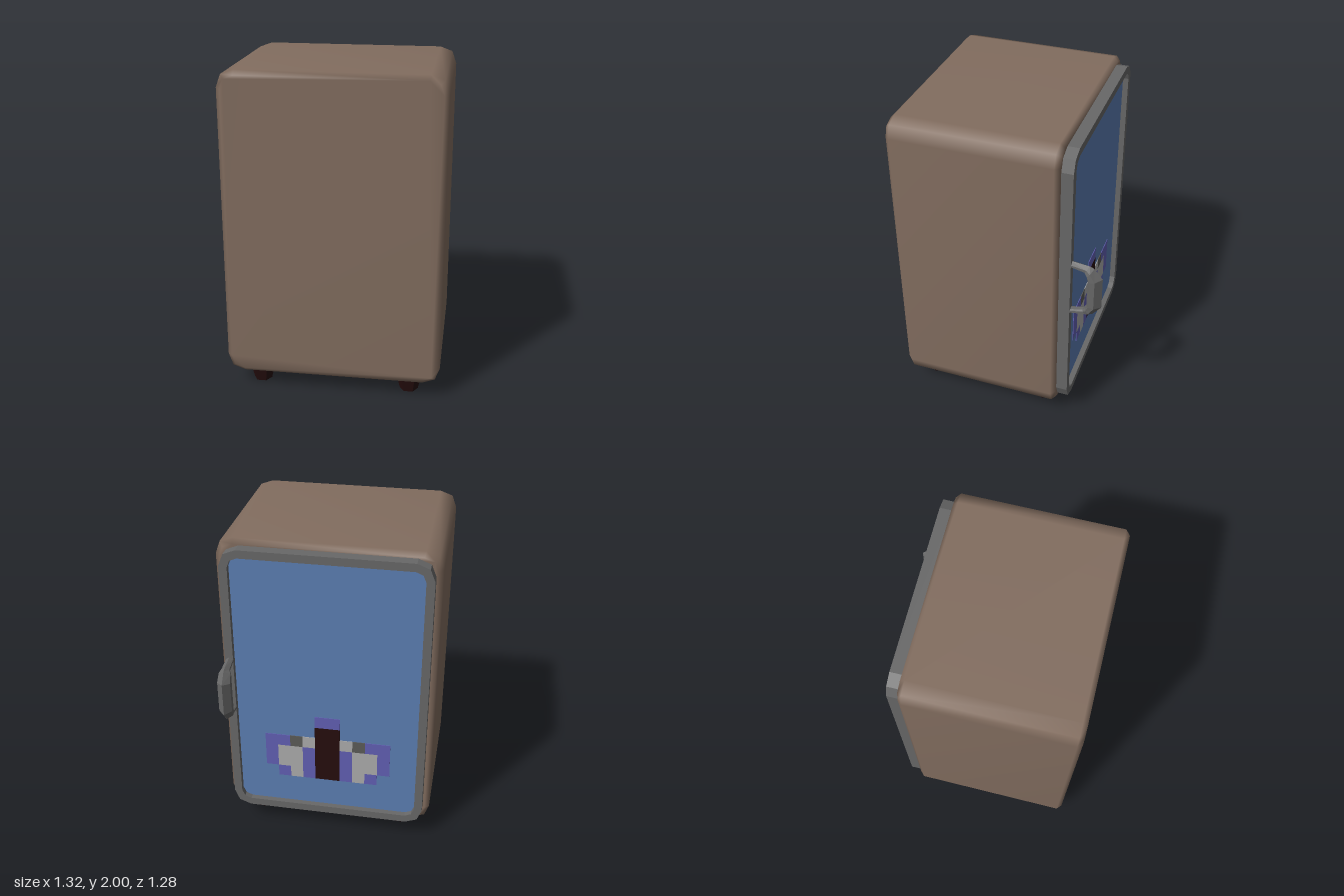
import * as THREE from 'three';
import { mergeVertices } from 'three/addons/utils/BufferGeometryUtils.js';

const mat = (name, color, extra = {}) => {
  const m = new THREE.MeshStandardMaterial({ color, ...extra });
  m.name = name;
  return m;
};

// Rectangle centred on x = 0 whose corners are cut with two facets
function cutRect(Type, halfW, y0, y1, long, short) {
  const cy = (y0 + y1) / 2, h = (y1 - y0) / 2;
  const quarter = [[halfW, h - long], [halfW - short, h - short], [halfW - long, h]];
  const flip = (sx, sy) => quarter.map(([x, y]) => [x * sx, y * sy]);
  const pts = [
    ...flip(1, 1), ...flip(-1, 1).reverse(),
    ...flip(-1, -1), ...flip(1, -1).reverse(),
  ];
  return new Type(pts.map(([x, y]) => new THREE.Vector2(x, cy + y)));
}

// Closed handle lofted through five-sided sections
function handleGeometry(cx) {
  // outer y, outer z, inner y, inner z, half width
  const half = [
    [1.26, -0.44, 1.228, -0.44, 0.022],
    [1.247, -0.56, 1.207, -0.53, 0.024],
    [1.235, -0.588, 1.185, -0.548, 0.036],
    [1.17, -0.64, 1.155, -0.555, 0.04],
  ];
  const mirrored = half.map(([a, b, c, d, w]) => [2.13 - a, b, 2.13 - c, d, w]).reverse();
  const rings = [...half, ...mirrored].map(([oy, oz, iy, iz, w]) => {
    const at = (t, s) => [cx + s * w, oy + (iy - oy) * t, oz + (iz - oz) * t];
    return [at(0, 0), at(0.45, 1), at(0.85, 1), at(1, 0.55), at(1, -0.55), at(0.85, -1), at(0.45, -1)];
  });
  const n = rings[0].length, pos = [];
  for (let r = 0; r < rings.length - 1; r++) {
    for (let i = 0; i < n; i++) {
      const j = (i + 1) % n;
      const a = rings[r][i], b = rings[r][j], c = rings[r + 1][j], d = rings[r + 1][i];
      pos.push(...a, ...b, ...c, ...a, ...c, ...d);
    }
  }
  const g = new THREE.BufferGeometry();
  g.setAttribute('position', new THREE.Float32BufferAttribute(pos, 3));
  g.computeVertexNormals();
  return g;
}

export function createModel() {
  const model = new THREE.Group();
  model.name = 'miniFridge';

  const brown = mat('cabinetBrown', 0x826d5f);
  const grey = mat('frameGrey', 0x686868, { side: THREE.DoubleSide });
  const blue = mat('panelBlue', 0x5c7eb3);
  const dark = mat('darkBrown', 0x260d0d);
  const purple = mat('patternPurple', 0x6260b4);
  const pale = mat('patternPale', 0xadadad);
  const slate = mat('patternSlate', 0x5c5c58);

  const add = (parent, name, geometry, material, x = 0, y = 0, z = 0) => {
    const mesh = new THREE.Mesh(geometry, material);
    mesh.name = name;
    mesh.position.set(x, y, z);
    parent.add(mesh);
    return mesh;
  };

  // Cabinet: bevelled block with soft shared normals
  const b = 0.028;
  let cabinet = new THREE.ExtrudeGeometry(cutRect(THREE.Shape, 0.66, 0.1, 2, 0.105, 0.028), {
    depth: 1.025 - 2 * b, bevelThickness: b, bevelSize: b, bevelOffset: -b, bevelSegments: 1,
  });
  cabinet.deleteAttribute('uv');
  cabinet.deleteAttribute('normal');
  cabinet = mergeVertices(cabinet, 1e-4);
  cabinet.computeVertexNormals();
  add(model, 'cabinet', cabinet, brown, 0, 0, -0.385 + b);

  // Feet: tapered hexagons
  const foot = new THREE.CylinderGeometry(0.083, 0.057, 0.11, 6).rotateY(Math.PI / 6).toNonIndexed();
  foot.computeVertexNormals();
  for (const x of [-0.467, 0.467]) {
    for (const z of [0.51, -0.258]) add(model, 'foot', foot, dark, x, 0.055, z);
  }

  // Door: frame, recessed panel and handle
  const door = new THREE.Group();
  door.name = 'door';
  model.add(door);
  const frame = cutRect(THREE.Shape, 0.62, 0.13, 1.965, 0.105, 0.03);
  frame.holes.push(cutRect(THREE.Path, 0.57, 0.18, 1.915, 0.06, 0.018));
  add(door, 'doorFrame', new THREE.ExtrudeGeometry(frame, { depth: 0.072, bevelEnabled: false }), grey, 0, 0, -0.455);
  add(door, 'doorPanel', new THREE.BoxGeometry(1.16, 1.755, 0.035), blue, 0, 1.0475, -0.4025);
  add(door, 'doorHandle', handleGeometry(0.592), grey);

  // Block pattern on the panel: cells of 0.08, column counted from the middle
  const pattern = new THREE.Group();
  pattern.name = 'blockPattern';
  door.add(pattern);
  const cell = 0.08, base = 0.38;
  const block = (x0, x1, r0, r1, material) => add(
    pattern, 'patternBlock',
    new THREE.BoxGeometry((x1 - x0) * cell, (r1 - r0) * cell, 0.006), material,
    (x0 + x1) / 2 * cell, base + (r0 + r1) / 2 * cell, -0.421);
  block(-1, 1, 0, 5, dark);
  block(-1, 1, 5, 6, purple);
  // column, bottom row, top row, material
  const wing = [
    [1, 0, 3, purple], [1, 3, 4, pale],
    [2, 0, 3, pale], [2, 3, 4, slate],
    [3, 0, 1, purple], [3, 1, 3, pale], [3, 3, 4, purple],
    [4, 1, 4, purple],
  ];
  for (const [c, r0, r1, m] of wing) {
    block(c, c + 1, r0, r1, m);
    block(-c - 1, -c, r0, r1, m);
  }

  return model;
}
